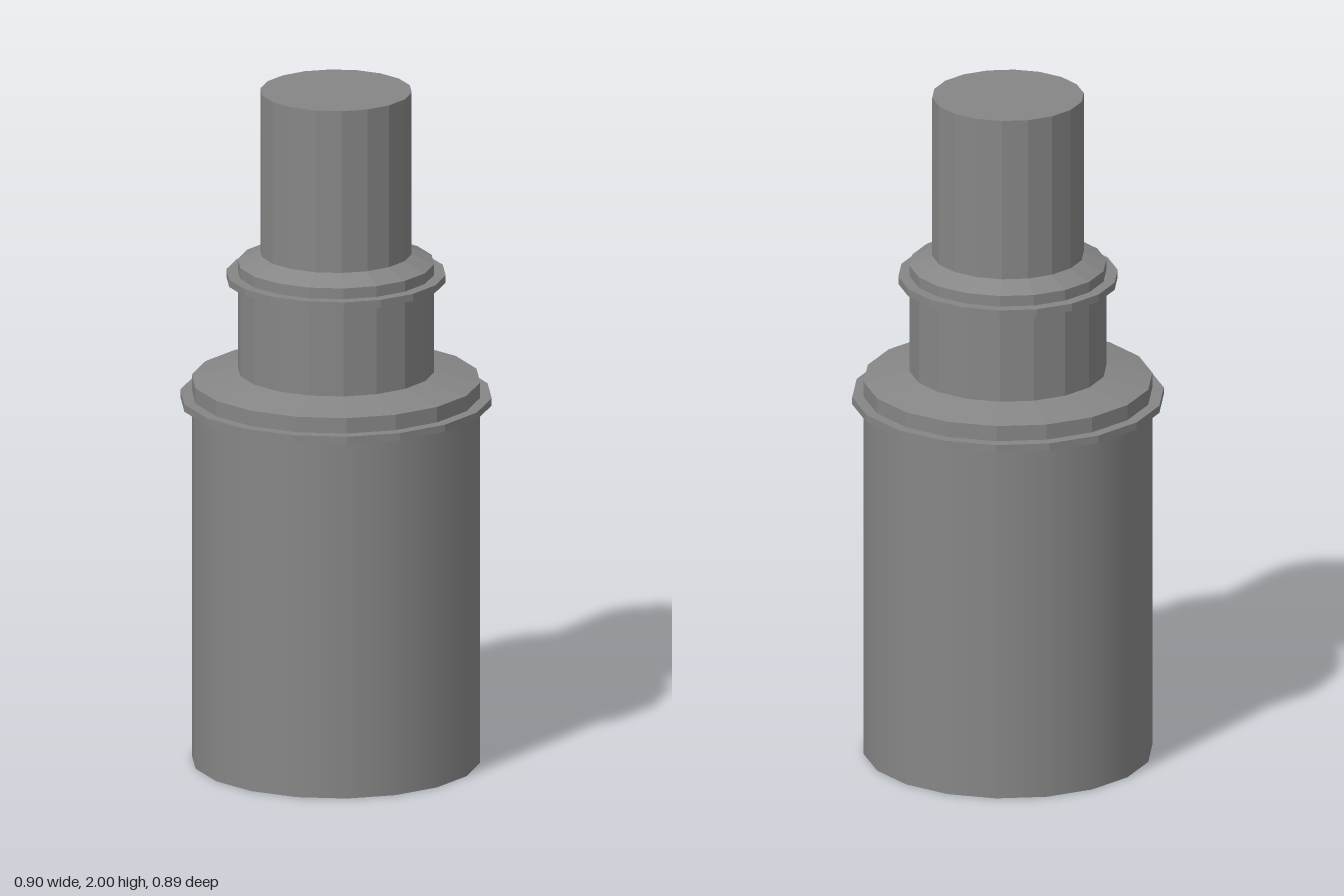
import * as THREE from 'three';

const SIDES = 18;
const RING = 0.022; // flange thickness

// Revolve a [radius, height] profile, listed from bottom to top, with a corner on +x
function revolve(name, profile, flat = true) {
  const points = profile.map(([r, y]) => new THREE.Vector2(r, y));
  const geometry = new THREE.LatheGeometry(points, SIDES, Math.PI / 2);
  const material = new THREE.MeshStandardMaterial({ color: 0x868686, flatShading: flat });
  const mesh = new THREE.Mesh(geometry, material);
  mesh.name = name;
  return mesh;
}

// Thin flange ring, a short collar and a sloped shoulder up to the next tier
function shoulder(name, r, rim, y, collarTop, rNext, top) {
  const group = new THREE.Group();
  group.name = name;
  group.add(
    revolve('flange', [[r, y], [rim, y], [rim, y + RING], [r, y + RING]]),
    revolve('collar', [[r, y + RING], [r, collarTop]]),
    revolve('slope', [[r, collarTop], [rNext, top]])
  );
  return group;
}

export function createModel() {
  const model = new THREE.Group();
  model.name = 'steppedCanister';
  const bodyR = 0.417, neckR = 0.284, stemR = 0.219;

  model.add(
    // Wide lower tier
    revolve('base', [[0, 0], [bodyR, 0]]),
    revolve('body', [[bodyR, 0], [bodyR, 1.07]], false),
    shoulder('lowerShoulder', bodyR, 0.45, 1.07, 1.138, neckR, 1.165),
    // Middle tier
    revolve('neck', [[neckR, 1.165], [neckR, 1.434]]),
    shoulder('upperShoulder', neckR, 0.317, 1.434, 1.488, stemR, 1.516),
    // Narrow top tier
    revolve('stem', [[stemR, 1.516], [stemR, 2]]),
    revolve('stemTop', [[stemR, 2], [0, 2]])
  );
  return model;
}
